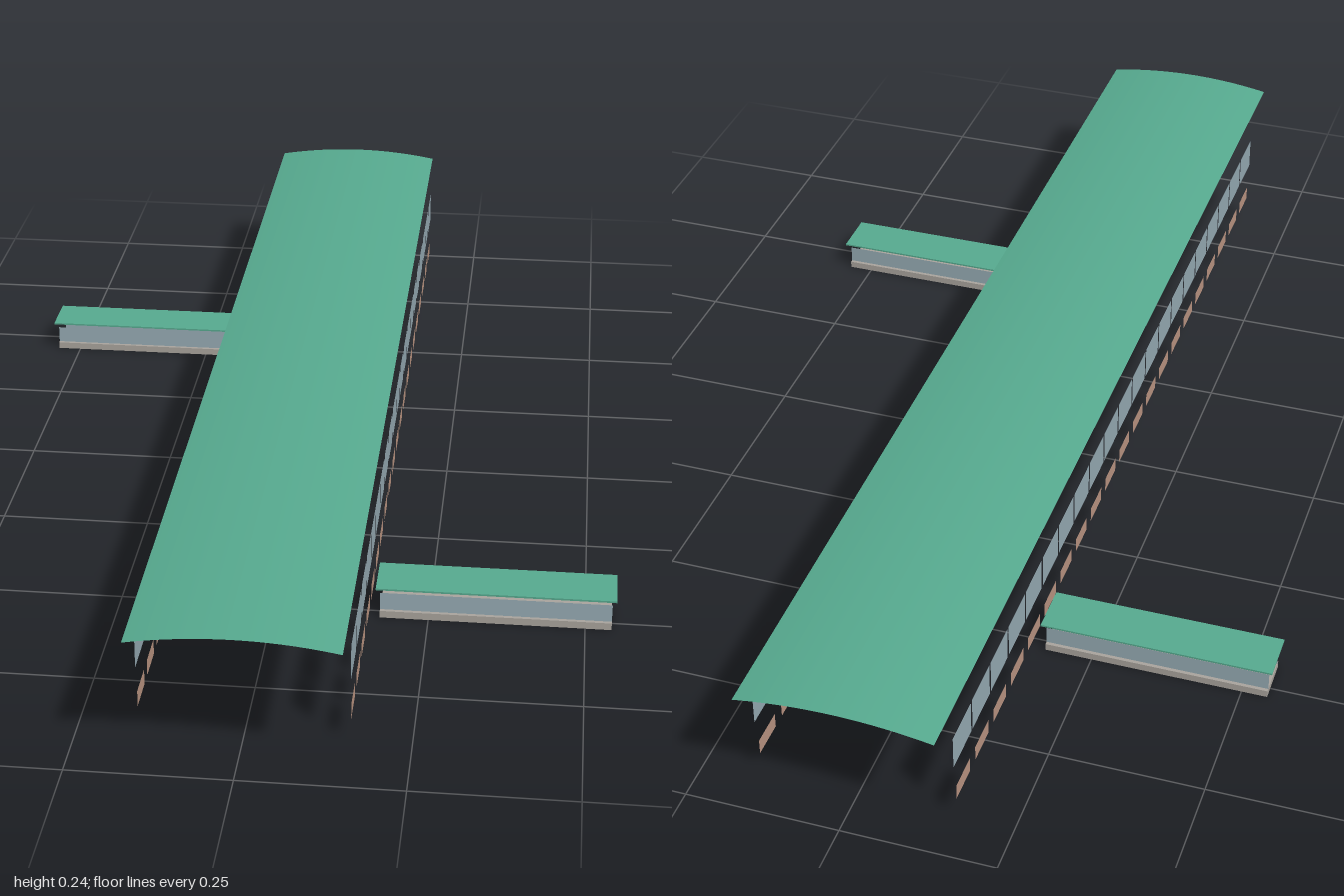
import * as THREE from 'three';

const mat = (name, color) => {
  const m = new THREE.MeshStandardMaterial({ color, side: THREE.DoubleSide });
  m.name = name;
  return m;
};

export function createModel() {
  const group = new THREE.Group();
  const green = mat('roof green', 0x57ab90);
  const glass = mat('window glass', 0x97acb5);
  const brick = mat('brick', 0xbc9683);
  const stone = mat('floor stone', 0xaaa59e);

  const add = (parent, name, geometry, material, x, y, z) => {
    const mesh = new THREE.Mesh(geometry, material);
    mesh.name = name;
    mesh.position.set(x, y, z);
    parent.add(mesh);
    return mesh;
  };

  // Main roof: a long sheet bent into a shallow arch
  const halfWidth = 0.157, rise = 0.0145;
  const sheet = new THREE.PlaneGeometry(2 * halfWidth, 2, 24, 1).rotateX(-Math.PI / 2);
  const p = sheet.attributes.position;
  for (let i = 0; i < p.count; i++) p.setY(i, rise * (1 - (p.getX(i) / halfWidth) ** 2));
  sheet.computeVertexNormals();
  add(group, 'mainRoof', sheet, green, 0, 0.221, 0);

  // Rows of windows and brick panels along both long sides
  const paneShape = new THREE.PlaneGeometry(0.081, 0.058).rotateY(Math.PI / 2);
  const brickShape = new THREE.PlaneGeometry(0.062, 0.026).rotateY(Math.PI / 2);
  for (const side of [-1, 1]) {
    const wall = new THREE.Group();
    wall.name = side > 0 ? 'leftWall' : 'rightWall';
    for (let i = 0; i < 21; i++) {
      const z = 0.848 - i * 0.0868;
      const x = side * 0.159;
      const pane = add(wall, 'windowPane', paneShape, glass, x, 0.14, z);
      const panel = add(wall, 'brickPanel', brickShape, brick, x, 0.051, z);
      // Turn the outer face away from the hall
      if (side < 0) pane.rotation.y = panel.rotation.y = Math.PI;
    }
    group.add(wall);
  }

  // Two open-ended side passages on opposite sides and ends
  for (const side of [-1, 1]) {
    const passage = new THREE.Group();
    passage.name = side > 0 ? 'leftPassage' : 'rightPassage';
    passage.position.set(side * 0.357, 0, side * 0.484);
    add(passage, 'passageRoof', new THREE.BoxGeometry(0.383, 0.003, 0.085), green, 0, 0.0545, 0);
    add(passage, 'passageFloor', new THREE.BoxGeometry(0.37, 0.012, 0.074), stone, 0, 0.006, 0);
    for (const s of [-1, 1]) {
      const wall = add(passage, 'passageWindow', new THREE.PlaneGeometry(0.37, 0.03), glass, 0, 0.027, s * 0.031);
      if (s < 0) wall.rotation.y = Math.PI;
    }
    group.add(passage);
  }

  return group;
}
